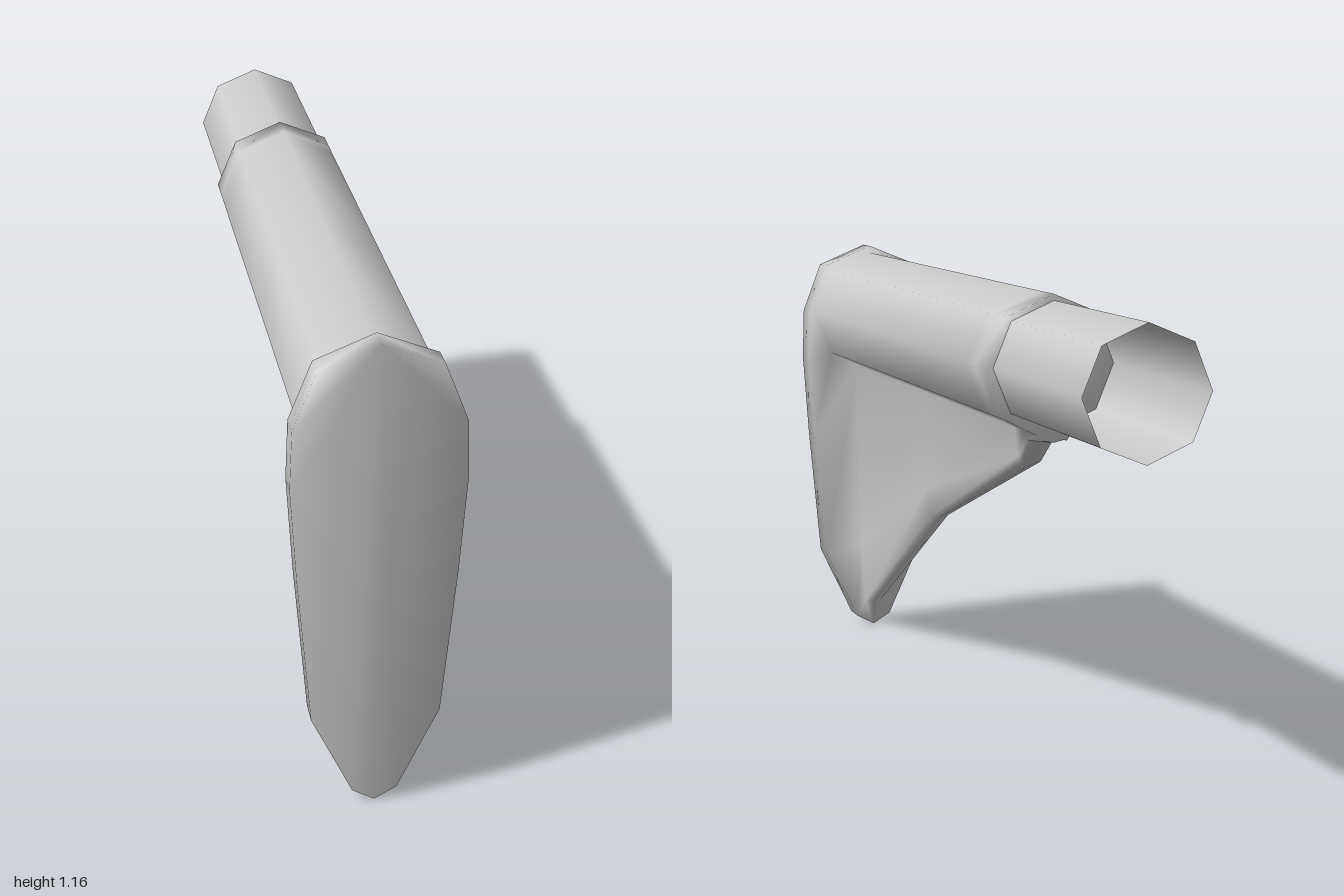
import * as THREE from 'three';

const material = new THREE.MeshStandardMaterial({ color: 0xcccccc, side: THREE.DoubleSide });

// Smooth loft through mirrored half outlines (top to bottom), ordered front to back, capped at both ends
function loft(name, sections) {
  const m = sections[0].half.length;
  const n = 2 * m - 2;
  const pos = [];
  const index = [];
  for (const { z, half } of sections) {
    for (const [x, y] of half) pos.push(x, y, z);
    for (let i = m - 2; i > 0; i--) pos.push(-half[i][0], half[i][1], z);
  }
  for (let s = 0; s < sections.length - 1; s++) {
    for (let i = 0; i < n; i++) {
      const a = s * n + i;
      const b = s * n + (i + 1) % n;
      // diagonals mirror about the centre plane
      if (i < m - 1) index.push(a, b, a + n, b, b + n, a + n);
      else index.push(a, b, b + n, a, b + n, a + n);
    }
  }
  const last = (sections.length - 1) * n;
  for (let i = 1; i < n - 1; i++) {
    index.push(0, i + 1, i, last, last + i, last + i + 1);
  }
  const geometry = new THREE.BufferGeometry();
  geometry.setAttribute('position', new THREE.Float32BufferAttribute(pos, 3));
  geometry.setIndex(index);
  geometry.computeVertexNormals();
  const mesh = new THREE.Mesh(geometry, material);
  mesh.name = name;
  return mesh;
}

// Faceted barrel with a thin web tucked under it, tapering to the keel
function bodySection(z, keel) {
  return {
    z,
    half: [
      [0, 1.14], [0.122, 1.09], [0.172, 0.97], [0.122, 0.845],
      [0.045, 0.805], [0.035, keel + (0.8 - keel) * 0.25], [0.025, keel + 0.005], [0, keel],
    ],
  };
}

export function createModel() {
  const model = new THREE.Group();
  model.name = 'shoulderStock';

  // Tall rounded end plate
  const plate = [
    [0, 1.16], [0.137, 1.105], [0.19, 0.97], [0.195, 0.83],
    [0.18, 0.6], [0.148, 0.235], [0.052, 0.03], [0, 0],
  ];
  // Plate, barrel and web in one continuous skin
  model.add(loft('stockBody', [
    { z: 1, half: plate },
    { z: 0.94, half: plate },
    bodySection(0.94, 0.07),
    bodySection(0.33, 0.45),
    bodySection(-0.34, 0.71),
    bodySection(-0.4, 0.775),
    bodySection(-0.48, 0.785),
  ]));

  // Open eight-sided tube at the rear
  const tube = new THREE.Mesh(new THREE.CylinderGeometry(0.155, 0.155, 0.52, 8, 1, true), material);
  tube.name = 'rearTube';
  tube.rotation.x = Math.PI / 2;
  tube.position.set(0, 0.97, -0.74);
  model.add(tube);

  return model;
}
